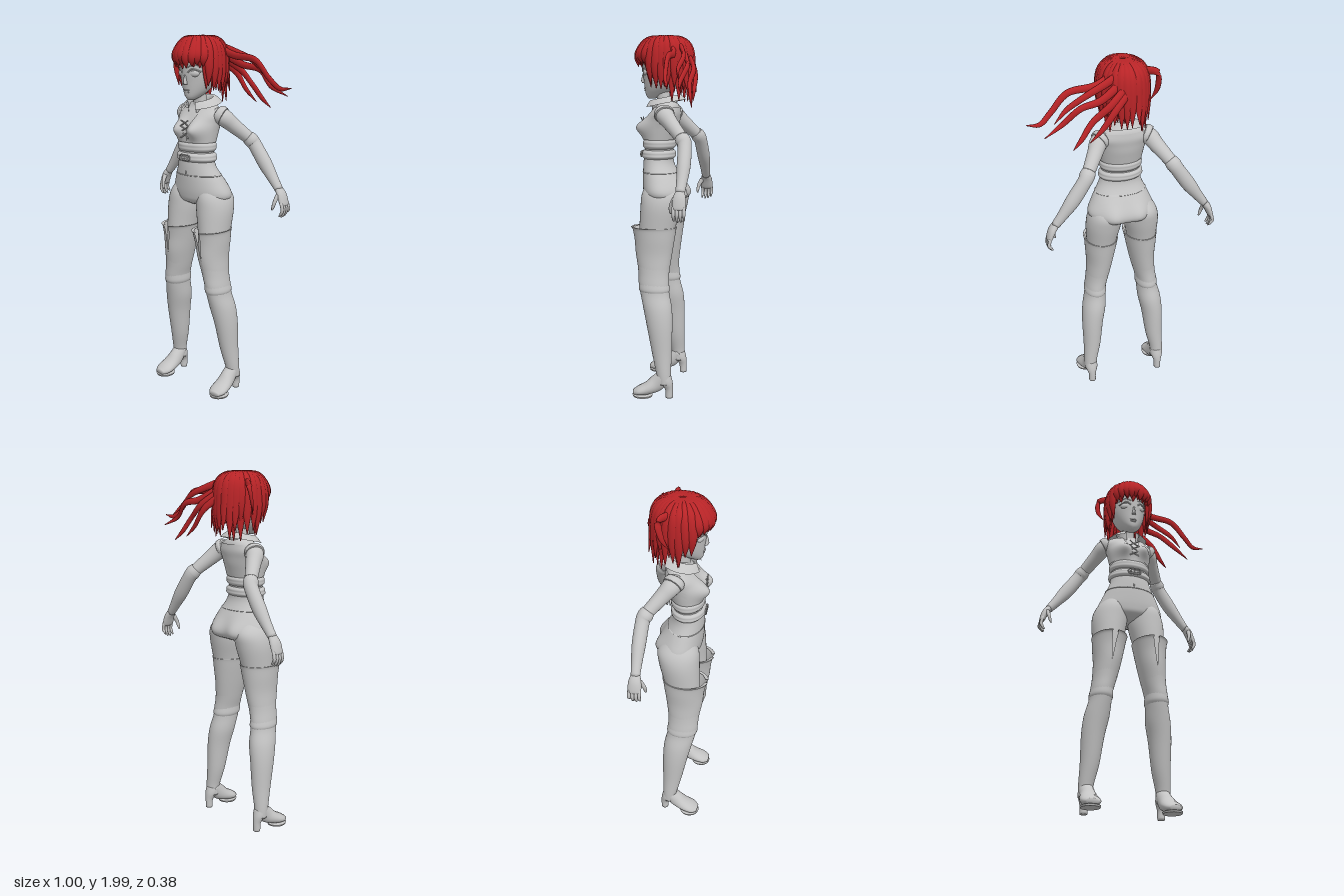
import * as THREE from 'three';

const V = (x, y, z) => new THREE.Vector3(x, y, z);

// Skin over elliptical cross-sections, rows = [x, y, z, a, b].
// Without `side` the rings lie flat (a along x, b along z, rows upward);
// with `side` they turn with the path and a lies along that direction.
function skin(rows, { side, n = 24, steps = 5, open, shell, deform } = {}) {
  const path = new THREE.CatmullRomCurve3(rows.map(r => V(r[0], r[1], r[2])), false, 'catmullrom', 0.5);
  const size = new THREE.CatmullRomCurve3(rows.map(r => V(r[3], r[4], 0)), false, 'catmullrom', 0.5);
  const m = (rows.length - 1) * steps, cols = open ? n + 1 : n;
  const pos = [], idx = [];
  const ring = (t, k) => {
    const c = path.getPoint(t), r = size.getPoint(t);
    let B = V(1, 0, 0), N = V(0, 0, 1);
    if (side) {
      const T = path.getTangent(t);
      B = side.clone().addScaledVector(T, -T.dot(side)).normalize();
      N = B.clone().cross(T);
    }
    const gap = open ? open(c.y) : 0;
    for (let j = 0; j < cols; j++) {
      const q = gap + (j / n) * (2 * Math.PI - 2 * gap);
      const p = c.clone().addScaledVector(B, k * Math.max(r.x, 0.001) * Math.sin(q))
        .addScaledVector(N, k * Math.max(r.y, 0.001) * Math.cos(q));
      if (deform && k) deform(p);
      pos.push(p.x, p.y, p.z);
    }
  };
  const capped = !shell && !open;
  if (capped) ring(0, 0);
  for (let i = 0; i <= m; i++) ring(i / m, 1);
  if (capped) ring(1, 0);
  const count = pos.length / 3 / cols;
  for (let i = 0; i < count - 1; i++) for (let j = 0; j < n; j++) {
    const a = i * cols + j, b = i * cols + (j + 1) % cols;
    idx.push(a, b, a + cols, b, b + cols, a + cols);
  }
  const g = new THREE.BufferGeometry();
  g.setAttribute('position', new THREE.Float32BufferAttribute(pos, 3));
  g.setIndex(idx);
  g.computeVertexNormals();
  return g;
}

export function createModel() {
  const model = new THREE.Group();
  model.name = 'longHairedFigure';
  const grey = new THREE.MeshStandardMaterial({ color: 0xc4c4c4, side: THREE.DoubleSide });
  grey.name = 'pale grey';
  const red = new THREE.MeshStandardMaterial({ color: 0xb92427, side: THREE.DoubleSide });
  red.name = 'hair red';

  // The body is mirrored about its own midline, a little off centre
  const body = new THREE.Group();
  body.name = 'body';
  body.position.x = -0.03;
  model.add(body);
  const add = (name, geo, mat = grey) => {
    const mesh = new THREE.Mesh(geo, mat);
    mesh.name = name;
    body.add(mesh);
    return mesh;
  };
  const blob = (name, x, y, z, a, b, c) => {
    const s = add(name, new THREE.SphereGeometry(1, 20, 14));
    s.position.set(x, y, z);
    s.scale.set(a, b, c);
    return s;
  };
  const cord = (name, pts, r) =>
    add(name, new THREE.TubeGeometry(new THREE.CatmullRomCurve3(pts.map(p => V(...p))), 12, r, 6));

  // Torso with bust and seat
  const torso = [
    [0, 1.075, 0.012, 0.08, 0.06], [0.008, 1.1, 0.012, 0.16, 0.105], [0.01, 1.14, 0.015, 0.188, 0.115],
    [0.008, 1.21, 0.03, 0.16, 0.105], [0.003, 1.29, 0.05, 0.12, 0.085], [0, 1.35, 0.05, 0.108, 0.08],
    [0, 1.42, 0.045, 0.107, 0.08], [0, 1.5, 0.03, 0.12, 0.085], [0, 1.57, 0.01, 0.135, 0.075],
    [0, 1.61, 0, 0.105, 0.06], [0, 1.64, 0.005, 0.05, 0.045]];
  const hump = (x, y, cx, cy, w, h) => Math.exp(-(((x - cx) / w) ** 2) - ((y - cy) / h) ** 2);
  const figure = p => {
    const { x, y } = p;
    if (p.z > 0.04) p.z += 0.055 * (hump(x, y, 0.06, 1.495, 0.045, 0.05) + hump(x, y, -0.06, 1.495, 0.045, 0.05));
    if (p.z < 0) p.z -= 0.03 * (hump(x, y, 0.085, 1.13, 0.06, 0.07) + hump(x, y, -0.075, 1.13, 0.06, 0.07));
  };
  add('torso', skin(torso, { n: 64, steps: 6, deform: figure }));

  // Clothing bands that follow the torso at a small distance
  const band = (name, y0, y1, pad, k, opts = {}) => {
    const rows = [];
    for (let i = 0; i <= k; i++) {
      const y = y0 + (y1 - y0) * i / k;
      const j = torso.findIndex(r => r[1] >= y), a = torso[j - 1], b = torso[j];
      const r = a.map((v, c) => v + (b[c] - v) * (y - a[1]) / (b[1] - a[1]));
      const edge = opts.shell && (i === 0 || i === k) ? 0 : pad;
      rows.push([r[0], y, r[2], r[3] + edge, r[4] + edge]);
    }
    return add(name, skin(rows, { n: 64, steps: 4, deform: figure, ...opts }));
  };
  band('vest', 1.425, 1.605, 0.007, 5, { open: y => Math.max(0.01, (y - 1.43) * 2) });
  band('waistSash', 1.375, 1.425, 0.01, 4, { shell: true });
  band('belt', 1.32, 1.368, 0.012, 4, { shell: true });
  band('waistSeam', 1.243, 1.248, 0.003, 2, { shell: true });
  blob('navel', 0, 1.262, 0.137, 0.004, 0.009, 0.004);

  // Buckle and vest lacing
  for (const x of [-0.022, 0, 0.022]) {
    const r = add('buckleRing', new THREE.TorusGeometry(0.015, 0.004, 8, 18));
    r.position.set(x, 1.344, 0.146);
  }
  const bar = add('buckleBar', new THREE.BoxGeometry(0.075, 0.008, 0.008));
  bar.position.set(0, 1.344, 0.146);
  for (let i = 0; i < 3; i++) for (const s of [-1, 1]) {
    const y = 1.45 + i * 0.032;
    cord('lace', [[-0.028 * s, y, 0.146], [0, y + 0.016, 0.143 + 0.003 * s], [0.028 * s, y + 0.032, 0.146]], 0.0035);
  }

  // Open collar, higher at the nape
  add('collar', skin([[0, 1.6, 0.02, 0.06, 0.07], [0, 1.652, 0.02, 0.062, 0.075], [0, 1.655, 0.015, 0.075, 0.09],
    [0, 1.625, 0.012, 0.112, 0.112]], {
    n: 40, open: y => 0.45, deform: p => { p.y -= 0.2 * p.z; } }));

  // Neck, head and face
  add('neck', skin([[0, 1.58, 0.01, 0.06, 0.05], [0, 1.63, 0.02, 0.038, 0.038], [0, 1.72, 0.035, 0.036, 0.04]]));
  add('head', skin([[0, 1.65, 0.09, 0.014, 0.02], [0, 1.668, 0.075, 0.038, 0.047], [0, 1.7, 0.05, 0.064, 0.078],
    [0, 1.75, 0.03, 0.086, 0.104], [0, 1.8, 0.02, 0.097, 0.12], [0, 1.87, 0.015, 0.1, 0.125],
    [0, 1.94, 0.01, 0.08, 0.1], [0, 1.975, 0.01, 0.03, 0.04]], { n: 36 }));
  add('nose', skin([[0, 1.735, 0.132, 0.012, 0.014], [0, 1.748, 0.134, 0.009, 0.017], [0, 1.785, 0.133, 0.005, 0.01]], { n: 12 }));
  blob('upperLip', 0, 1.704, 0.127, 0.02, 0.005, 0.007);
  blob('lowerLip', 0, 1.694, 0.124, 0.016, 0.006, 0.007);

  for (const s of [-1, 1]) {
    const tube = (name, rows, opts) => add(name, skin(rows.map(([x, ...r]) => [x * s, ...r]), opts));
    const Z = V(0, 0, 1), X = V(1, 0, 0);

    blob('eye', 0.047 * s, 1.793, 0.116, 0.028, 0.018, 0.013).rotation.y = 0.4 * s;
    cord('eyelid', [[0.018 * s, 1.797, 0.137], [0.045 * s, 1.816, 0.131], [0.08 * s, 1.802, 0.098]], 0.004);
    cord('eyebrow', [[0.016 * s, 1.822, 0.14], [0.05 * s, 1.84, 0.127], [0.082 * s, 1.828, 0.094]], 0.003);

    // Arm, sleeve edge and long glove
    tube('upperArm', [[0.08, 1.572, 0.005, 0.045, 0.035], [0.135, 1.56, -0.012, 0.05, 0.047], [0.172, 1.515, -0.055, 0.041, 0.041],
      [0.235, 1.435, -0.13, 0.033, 0.033], [0.26, 1.4, -0.143, 0.033, 0.033]], { side: Z });
    tube('armhole', [[0.11, 1.577, 0, 0.05, 0.045], [0.125, 1.57, -0.005, 0.056, 0.052], [0.14, 1.562, -0.012, 0.053, 0.05]], { side: Z });
    tube('glove', [[0.222, 1.452, -0.118, 0.036, 0.036], [0.237, 1.432, -0.132, 0.041, 0.041], [0.255, 1.405, -0.143, 0.037, 0.038],
      [0.32, 1.312, -0.15, 0.036, 0.039], [0.375, 1.238, -0.151, 0.029, 0.029], [0.42, 1.18, -0.15, 0.024, 0.022]], { side: Z });
    tube('palm', [[0.412, 1.192, -0.15, 0.022, 0.02], [0.438, 1.155, -0.15, 0.034, 0.02], [0.455, 1.11, -0.15, 0.035, 0.015],
      [0.458, 1.098, -0.15, 0.028, 0.009]], { side: Z });
    for (let i = 0; i < 4; i++) {
      const z = -0.123 - i * 0.018, d = [0.006, 0, 0.003, 0.014][i];
      tube('finger', [[0.455, 1.115, z, 0.009, 0.009], [0.464, 1.078, z - 0.001, 0.009, 0.009],
        [0.456, 1.05 + d, z, 0.007, 0.008], [0.444, 1.035 + d, z, 0.004, 0.004]], { side: Z, n: 10, steps: 3 });
    }
    tube('thumb', [[0.43, 1.155, -0.125, 0.014, 0.012], [0.425, 1.12, -0.106, 0.011, 0.01], [0.418, 1.09, -0.1, 0.008, 0.008],
      [0.412, 1.075, -0.1, 0.004, 0.004]], { side: Z, n: 10 });

    // Thigh and boot
    tube('thigh', [[0.125, 0.78, 0.05, 0.065, 0.092], [0.12, 0.88, 0.042, 0.077, 0.095], [0.117, 0.96, 0.032, 0.086, 0.102],
      [0.108, 1.06, 0.018, 0.098, 0.112], [0.1, 1.13, 0.012, 0.09, 0.112], [0.09, 1.19, 0.02, 0.06, 0.08]], { n: 36 });
    tube('bootLeg', [[0.21, 0.08, -0.025, 0.038, 0.036], [0.21, 0.14, -0.019, 0.039, 0.041], [0.196, 0.25, -0.007, 0.05, 0.055],
      [0.186, 0.4, 0.008, 0.061, 0.071], [0.172, 0.5, 0.022, 0.067, 0.08], [0.16, 0.58, 0.04, 0.06, 0.081],
      [0.155, 0.635, 0.047, 0.06, 0.085], [0.142, 0.7, 0.05, 0.064, 0.087], [0.126, 0.8, 0.052, 0.072, 0.1]], { n: 32 });
    tube('bootTop', [[0.138, 0.72, 0.05, 0.066, 0.089], [0.127, 0.8, 0.052, 0.074, 0.102], [0.121, 0.88, 0.05, 0.085, 0.112],
      [0.117, 0.935, 0.052, 0.092, 0.122], [0.117, 0.95, 0.055, 0.096, 0.128], [0.117, 0.947, 0.05, 0.086, 0.114]], {
      n: 40, open: y => Math.min(0.16, Math.max(0.002, (y - 0.79) * 1.1)) });
    tube('kneeFold', [[0.157, 0.585, 0.042, 0.056, 0.078], [0.157, 0.605, 0.044, 0.064, 0.087], [0.154, 0.64, 0.048, 0.06, 0.084]], { shell: true });

    // Foot, sole and heel
    tube('foot', [[0.209, 0.13, -0.024, 0.038, 0.036], [0.209, 0.08, 0.018, 0.042, 0.046], [0.213, 0.05, 0.065, 0.05, 0.036],
      [0.216, 0.032, 0.115, 0.051, 0.026], [0.218, 0.022, 0.148, 0.03, 0.015]], { side: X });
    tube('sole', [[0.216, 0, 0.1, 0.05, 0.054], [0.216, 0.01, 0.1, 0.053, 0.057]], { n: 28 });
    tube('heel', [[0.21, 0, -0.052, 0.02, 0.02], [0.21, 0.05, -0.05, 0.022, 0.023], [0.21, 0.09, -0.033, 0.036, 0.037],
      [0.21, 0.13, -0.022, 0.036, 0.038]], { n: 20 });
  }

  // Hair cap, open over the face
  const cap = add('hairCap', new THREE.SphereGeometry(1, 32, 20, 0, Math.PI * 2, 0, Math.PI * 0.56), red);
  cap.scale.set(0.118, 0.12, 0.138);
  cap.position.set(0, 1.86, 0.015);
  cap.rotation.x = -0.35;

  let seed = 7;
  const rand = () => (seed = (seed * 16807) % 2147483647) / 2147483647;

  // Locks fanning out from the crown in two layers
  for (let layer = 0; layer < 2; layer++) {
    const count = layer ? 21 : 28, R = layer ? 0.9 : 1;
    for (let i = 0; i < count; i++) {
      const q = (i + 0.5 * layer + 0.25 * rand()) / count * Math.PI * 2, c = Math.cos(q), s = Math.sin(q);
      const end = c > 0.5 ? 1.815 + 0.03 * rand() : c > 0.05 ? 1.69 + 0.06 * rand() : 1.63 + 0.1 * rand();
      const curl = c > 0.5 ? 0.96 : c > 0 ? 0.92 : 0.98 + 0.22 * -c * rand();
      const at = (k, y, a, b) => [s * 0.126 * k * R, y, 0.015 + c * 0.152 * k * R, a, b];
      add('hairLock', skin([at(0.12, 1.982, 0.01, 0.008), at(0.62, 1.967, 0.022, 0.016), at(0.93, 1.915, 0.029, 0.018),
        at(1.03, 1.915 - (1.915 - end) * 0.5, 0.025, 0.014), at(curl, end, 0.002, 0.002)],
      { side: V(c, 0, -s), n: 8, steps: 4 }), red);
    }
  }

  // Long wind-blown locks and a small flick on the other side
  const blown = [
    [[0.06, 1.93, -0.04], [0.17, 1.885, -0.065], [0.31, 1.865, -0.065], [0.4, 1.775, -0.07], [0.46, 1.725, -0.085], [0.53, 1.73, -0.09]],
    [[0.04, 1.9, -0.1], [0.16, 1.835, -0.14], [0.27, 1.81, -0.155], [0.36, 1.73, -0.135], [0.455, 1.68, -0.16]],
    [[0.02, 1.88, -0.12], [0.12, 1.81, -0.165], [0.21, 1.735, -0.16], [0.27, 1.66, -0.175], [0.32, 1.61, -0.19]],
    [[0, 1.87, -0.12], [0.09, 1.79, -0.17], [0.16, 1.7, -0.175], [0.23, 1.635, -0.18]],
    [[0.03, 1.94, -0.07], [0.14, 1.9, -0.11], [0.24, 1.86, -0.13], [0.33, 1.8, -0.12], [0.4, 1.74, -0.14]],
    [[-0.09, 1.93, -0.03], [-0.155, 1.925, -0.075], [-0.163, 1.84, -0.06], [-0.14, 1.77, -0.03]]];
  for (const pts of blown) {
    const last = pts.length - 1;
    add('blownLock', skin(pts.map((p, i) => {
      const w = i === last ? 0.002 : 0.023 * (1 - 0.55 * i / last);
      return [...p, w, w * 0.6];
    }), { side: V(0.3, 1, 0.2), n: 10, steps: 7 }), red);
  }
  return model;
}
